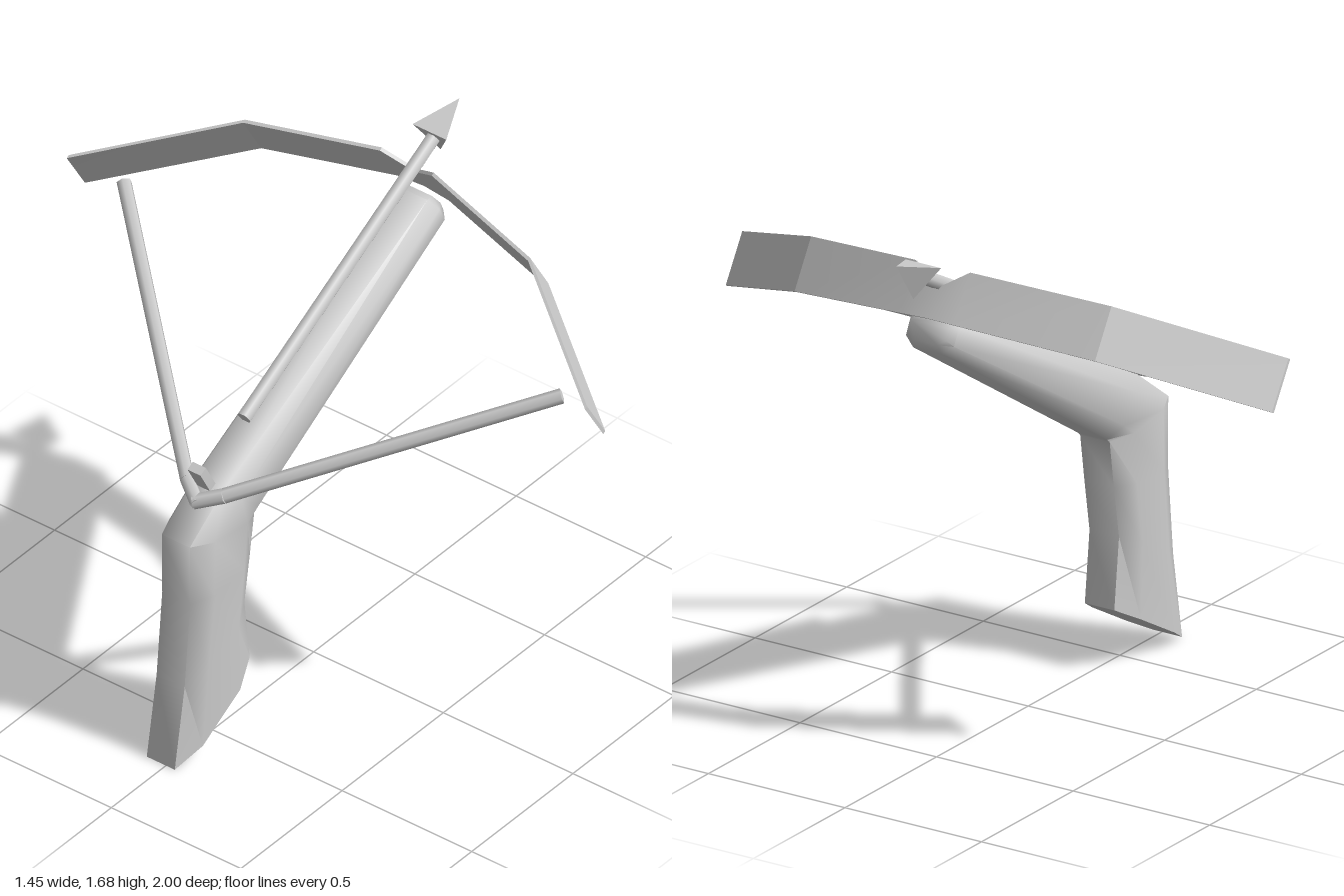
import * as THREE from 'three';
import { toCreasedNormals } from 'three/addons/utils/BufferGeometryUtils.js';

const V = (x, y, z) => new THREE.Vector3(x, y, z);
const material = new THREE.MeshStandardMaterial({ color: 0xcccccc });
const flatMaterial = new THREE.MeshStandardMaterial({ color: 0xcccccc, flatShading: true });

// Skin a list of equal-sized rings and cap both ends
function loft(rings, crease) {
  const n = rings[0].length, positions = [], index = [];
  const add = (p) => positions.push(p.x, p.y, p.z);
  rings.forEach((ring) => ring.forEach(add));
  for (let i = 0; i < rings.length - 1; i++) {
    for (let k = 0; k < n; k++) {
      const a = i * n + k, b = i * n + (k + 1) % n;
      index.push(a, a + n, b + n, a, b + n, b);
    }
  }
  const last = (rings.length - 1) * n;
  for (let k = 1; k < n - 1; k++) {
    index.push(0, k, k + 1);
    index.push(last, last + k + 1, last + k);
  }
  const geometry = new THREE.BufferGeometry();
  geometry.setAttribute('position', new THREE.Float32BufferAttribute(positions, 3));
  geometry.setIndex(index);
  return toCreasedNormals(geometry, crease);
}

function addMesh(parent, name, geometry, mat = material) {
  const mesh = new THREE.Mesh(geometry, mat);
  mesh.name = name;
  parent.add(mesh);
  return mesh;
}

// Straight rod or cone from a to b
function addRod(parent, name, a, b, r, sides, rEnd = r) {
  const geometry = new THREE.CylinderGeometry(rEnd, r, a.distanceTo(b), sides);
  const mesh = addMesh(parent, name, geometry, sides < 5 ? flatMaterial : material);
  mesh.position.lerpVectors(a, b, 0.5);
  mesh.quaternion.setFromUnitVectors(V(0, 1, 0), b.clone().sub(a).normalize());
  return mesh;
}

// Grip and barrel: [upper x, upper y, lower x, lower y, half width, z offset]
function stockGeometry() {
  const sections = [
    [-0.73, 0.01, -0.36, 0.22, 0.09, -0.02],
    [-0.685, 0.3, -0.39, 0.45, 0.09, -0.017],
    [-0.66, 0.6, -0.365, 0.62, 0.09, -0.015],
    [-0.665, 0.82, -0.345, 0.775, 0.09, -0.013],
    [-0.5, 0.945, -0.335, 0.785, 0.09, -0.01],
    [0.49, 1.465, 0.545, 1.355, 0.088, 0.003],
    [0.525, 1.455, 0.553, 1.385, 0.07, 0.004],
  ];
  const profile = [[1, 0.75], [0.6, 1], [-0.6, 1], [-1, 0.75], [-1, 0.25], [-0.6, 0], [0.6, 0], [1, 0.25]];
  const rings = sections.map(([ux, uy, lx, ly, w, z]) =>
    profile.map(([s, t]) => V(lx + (ux - lx) * t, ly + (uy - ly) * t, z + s * w)));
  return loft(rings, 1.15);
}

// Bow: thin tilted strip, [z, upper x, upper y, lower x, lower y]
function bowGeometry() {
  const half = [
    [1, 0.06, 1.375, 0.15, 1.228],
    [0.55, 0.355, 1.55, 0.445, 1.4],
    [0.1, 0.455, 1.6, 0.54, 1.455],
  ];
  const notch = [0, 0.5, 1.54, 0.545, 1.46];
  const mirrored = half.map(([z, ...p]) => [-z, ...p]).reverse();
  const tx = 0.01, ty = 0.006;
  const rings = [...half, notch, ...mirrored].map(([z, ux, uy, lx, ly]) => {
    const lean = -0.015 * z; // slight roll of the whole bow
    return [
      V(ux, uy + lean, z), V(lx, ly + lean, z),
      V(lx + tx, ly + ty + lean, z), V(ux + tx, uy + ty + lean, z),
    ];
  });
  return loft(rings, 0.4);
}

export function createModel() {
  const model = new THREE.Group();
  model.name = 'crossbow';

  addMesh(model, 'stock', stockGeometry());
  addMesh(model, 'bow', bowGeometry());

  // Drawn string, bent around the catch
  const string = new THREE.Group();
  string.name = 'string';
  model.add(string);
  for (const side of [1, -1]) {
    const tip = V(0.145, 1.305 - side * 0.015, side * 0.845);
    const bend = V(-0.535, 0.953, side * 0.07);
    addRod(string, 'stringArm', bend, tip, 0.024, 6);
    addRod(string, 'stringBend', V(-0.585, 0.925, -side * 0.008), bend, 0.024, 6);
  }

  // Catch peg behind the string
  const peg = addMesh(model, 'catchPeg', new THREE.BoxGeometry(0.03, 0.1, 0.05));
  peg.position.set(-0.548, 1.0, -0.005);
  peg.rotation.z = 0.5;

  // Bolt lying along the barrel, with a three-sided head
  const bolt = new THREE.Group();
  bolt.name = 'bolt';
  model.add(bolt);
  addRod(bolt, 'boltShaft', V(-0.345, 1.105, 0), V(0.6, 1.622, 0), 0.025, 6);
  const head = addRod(bolt, 'boltHead', V(0.59, 1.617, 0), V(0.72, 1.69, 0), 0.075, 3, 0);
  head.rotateY(Math.PI / 2); // one corner points down
  return model;
}
